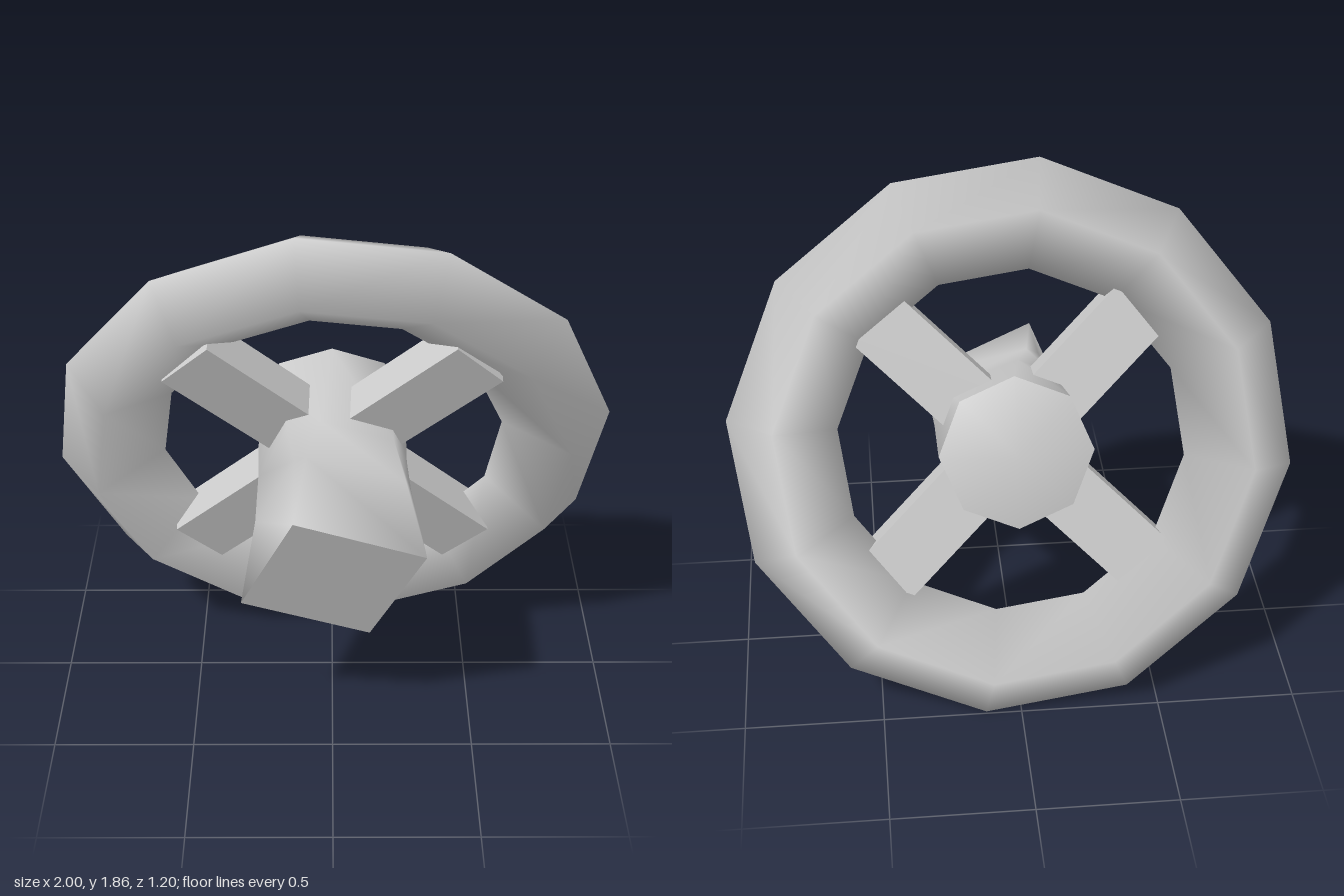
import * as THREE from 'three';
import { mergeVertices } from 'three/addons/utils/BufferGeometryUtils.js';

const grey = () => new THREE.MeshStandardMaterial({ color: 0xcccccc });

// Smooth skin over a list of closed rings of points
function loft(name, rings, closed = false) {
  const n = rings[0].length, index = [];
  const last = closed ? rings.length : rings.length - 1;
  for (let i = 0; i < last; i++) {
    const k = (i + 1) % rings.length;
    for (let j = 0; j < n; j++) {
      const m = (j + 1) % n;
      const a = i * n + j, b = i * n + m, c = k * n + m, d = k * n + j;
      index.push(a, b, d, b, c, d);
    }
  }
  let geo = new THREE.BufferGeometry();
  geo.setAttribute('position', new THREE.Float32BufferAttribute(rings.flat(2), 3));
  geo.setIndex(index);
  geo = mergeVertices(geo);
  geo.computeVertexNormals();
  const mesh = new THREE.Mesh(geo, grey());
  mesh.name = name;
  return mesh;
}

// Ring across the wheel axis: pinch 0 is an octagon, pinch 1 pairs its corners into a square
function ring(r, z, pinch) {
  return Array.from({ length: 8 }, (_, i) => {
    const corner = Math.PI / 8 + Math.floor(i / 2) * Math.PI / 2;
    const a = THREE.MathUtils.lerp(i * Math.PI / 4, corner, pinch);
    return [r * Math.cos(a), r * Math.sin(a), z];
  });
}

export function createModel() {
  const model = new THREE.Group();
  model.name = 'handWheel';
  const wheel = new THREE.Group();
  wheel.name = 'tiltedWheel';
  wheel.position.set(0, 0.932, -0.126);
  wheel.rotation.x = THREE.MathUtils.degToRad(21.4);
  model.add(wheel);

  // Rim: a four-sided section swept through twelve steps
  const section = [[1.006, 0], [0.839, -0.182], [0.618, 0.005], [0.855, 0.185]];
  const rimRings = Array.from({ length: 12 }, (_, i) => {
    const a = THREE.MathUtils.degToRad(7.3 + i * 30);
    return section.map(([r, z]) => [r * Math.cos(a), r * Math.sin(a), z]);
  });
  wheel.add(loft('rim', rimRings, true));

  // Column: octagonal hub flaring to a square foot
  wheel.add(loft('column', [
    ring(0.27, -0.178, 0), ring(0.27, 0.16, 0.4), ring(0.29, 0.33, 0.8), ring(0.346, 0.652, 1),
  ]));
  wheel.add(loft('hubCap', [ring(0, -0.249, 0), ring(0.27, -0.178, 0)]));
  wheel.add(loft('columnEnd', [ring(0.346, 0.652, 1), ring(0, 0.652, 1)]));

  // Spokes: four bars whose ends break through the rim's inner ridge
  const inner = 0.12, outer = 0.715, back = -0.028, front = 0.115;
  for (let i = 0; i < 4; i++) {
    const geo = new THREE.BoxGeometry(outer - inner, 0.232, front - back);
    geo.translate((outer + inner) / 2, 0, (front + back) / 2);
    const spoke = new THREE.Mesh(geo, grey());
    spoke.name = 'spoke' + (i + 1);
    spoke.rotation.z = Math.PI / 4 + i * Math.PI / 2;
    wheel.add(spoke);
  }
  return model;
}
